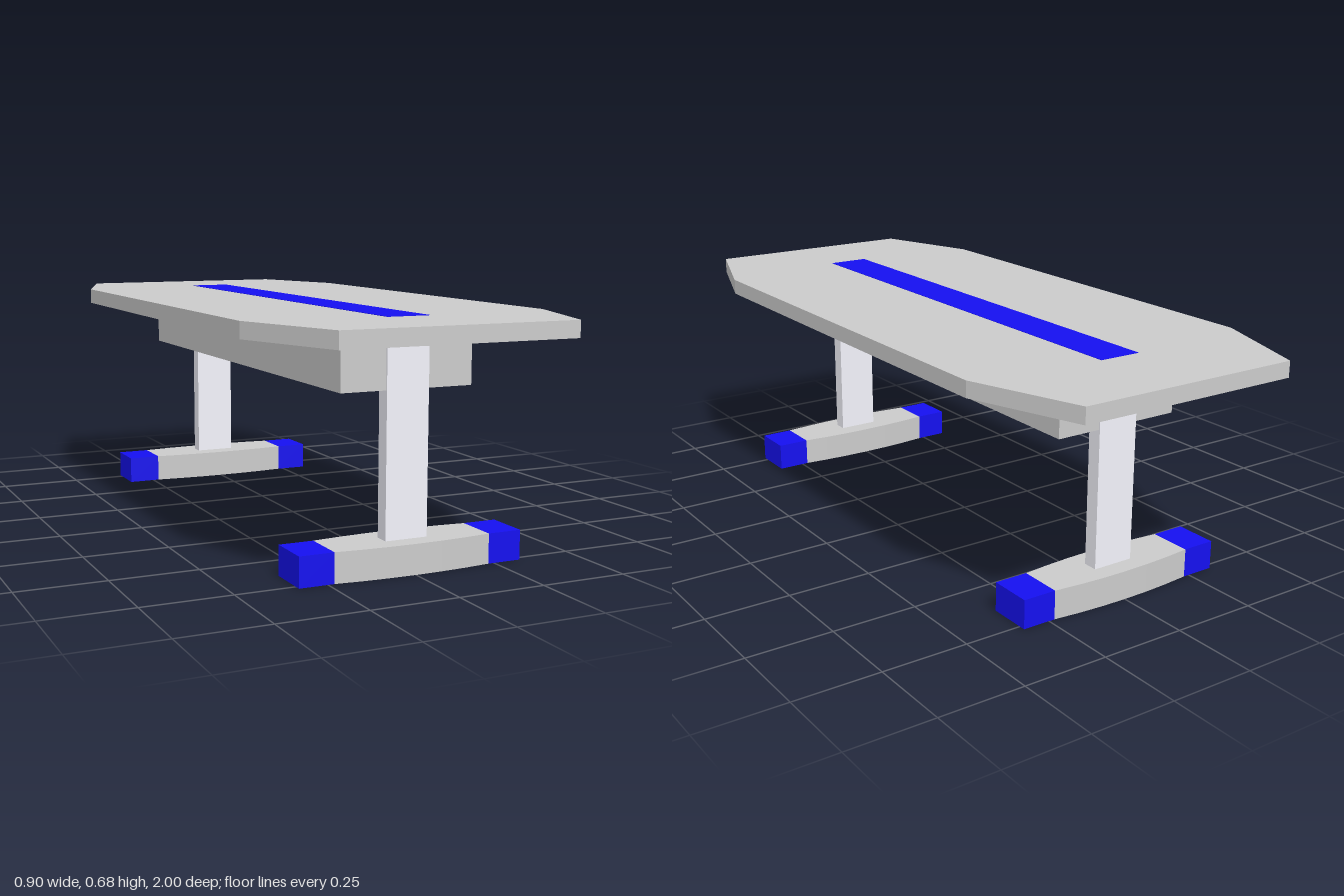
import * as THREE from 'three';

const grey = new THREE.MeshStandardMaterial({ color: 0xcccccc, flatShading: true });
const blue = new THREE.MeshStandardMaterial({ color: 0x1510f0, flatShading: true });
const pale = new THREE.MeshStandardMaterial({ color: 0xf4f4fc, flatShading: true });

// Box given by its size, base height and centre
function box(name, w, h, d, x, y, z, material) {
  const mesh = new THREE.Mesh(new THREE.BoxGeometry(w, h, d), material);
  mesh.position.set(x, y + h / 2, z);
  mesh.name = name;
  return mesh;
}

// Upright slab from an outline of [x, z] points
function slab(name, points, y, height, material) {
  const shape = new THREE.Shape(points.map(([x, z]) => new THREE.Vector2(x, -z)));
  const geometry = new THREE.ExtrudeGeometry(shape, { depth: height, bevelEnabled: false });
  geometry.rotateX(-Math.PI / 2);
  const mesh = new THREE.Mesh(geometry, material);
  mesh.position.y = y;
  mesh.name = name;
  return mesh;
}

// Foot bar with bulging sides and coloured end caps
function makeFoot() {
  const foot = new THREE.Group();
  foot.name = 'foot';
  const half = 0.232, segments = 6, outline = [];
  for (const side of [1, -1]) {
    for (let i = 0; i <= segments; i++) {
      const t = (i / segments) * 2 - 1;
      outline.push([side * t * half, side * (0.064 + 0.014 * (1 - t * t))]);
    }
  }
  foot.add(slab('footBar', outline, 0, 0.084, grey));
  for (const s of [-1, 1]) {
    foot.add(box('footCap', 0.1, 0.084, 0.128, s * 0.282, 0, 0, blue));
  }
  return foot;
}

export function createModel() {
  const table = new THREE.Group();
  table.name = 'table';

  // Top with cut corners and an inlaid stripe
  const corners = [
    [-0.338, 1], [0.338, 1], [0.452, 0.675], [0.452, -0.675],
    [0.338, -1], [-0.338, -1], [-0.452, -0.675], [-0.452, 0.675],
  ];
  table.add(slab('tabletop', corners, 0.63, 0.046, grey));
  table.add(box('stripe', 0.126, 0.002, 1.45, 0, 0.675, 0, blue));

  // Support block under the top
  table.add(box('apron', 0.39, 0.145, 1.446, 0, 0.485, 0, grey));

  // A post and foot at each end
  for (const s of [-1, 1]) {
    table.add(box('leg', 0.125, 0.548, 0.043, 0, 0.082, s * 0.706, pale));
    const foot = makeFoot();
    foot.position.z = s * 0.705;
    table.add(foot);
  }
  return table;
}
